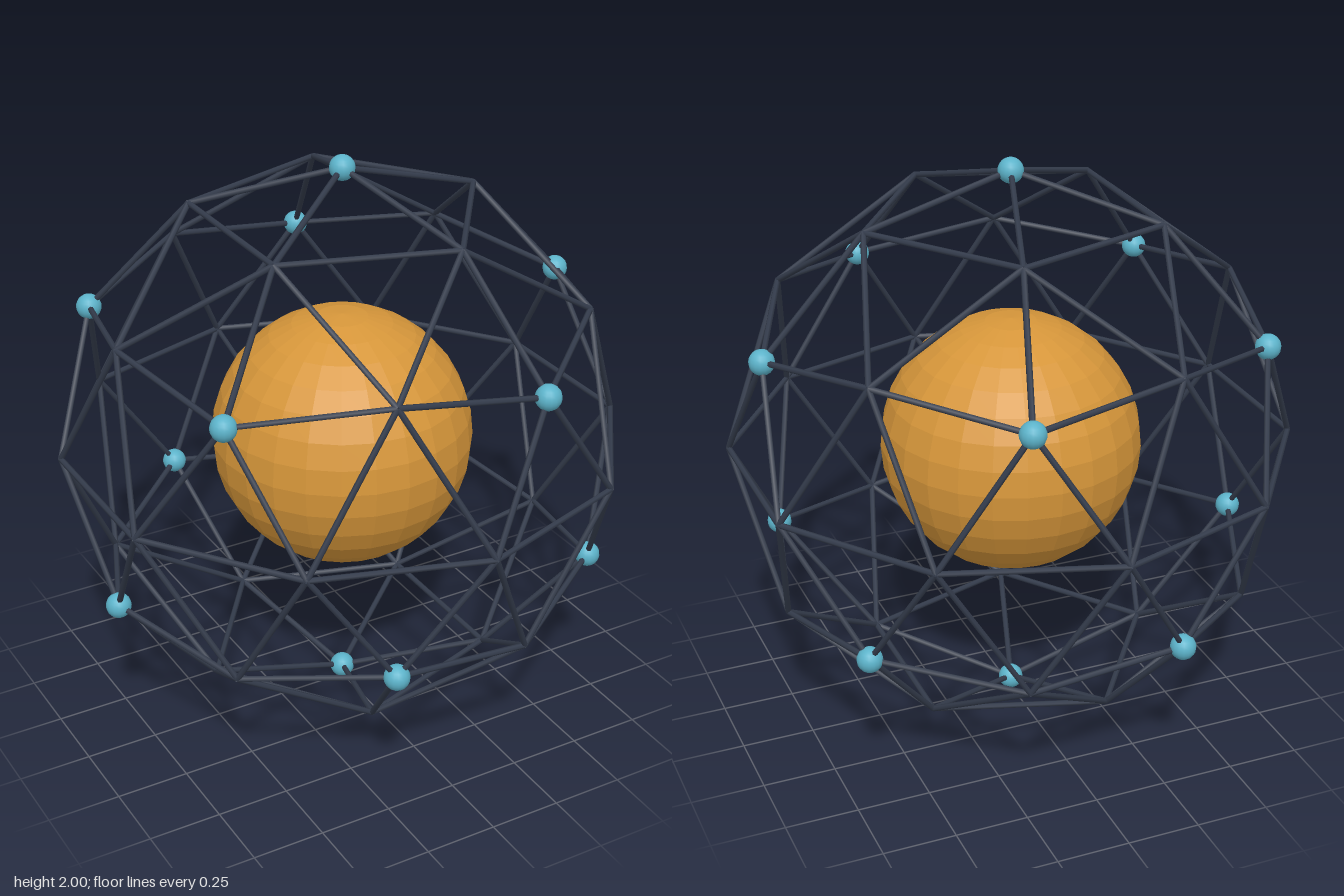
import * as THREE from 'three';

const R = 0.957;         // cage radius
const NODE_R = 0.043;    // joint ball radius
const STRUT_R = 0.01;    // strut radius

export function createModel() {
  const model = new THREE.Group();
  model.name = 'geodesicCage';

  const gold = new THREE.MeshStandardMaterial({ color: 0xd6963a, flatShading: true });
  gold.name = 'amber';
  const slate = new THREE.MeshStandardMaterial({ color: 0x343c4c });
  slate.name = 'darkSlate';
  const teal = new THREE.MeshStandardMaterial({ color: 0x5cb3ca });
  teal.name = 'paleTeal';

  // Everything is built round the centre of the cage
  const cage = new THREE.Group();
  cage.name = 'cage';
  cage.position.y = 1;
  model.add(cage);

  // Twelve main corners: two poles and two staggered rings of five
  const corners = [new THREE.Vector3(0, R, 0), new THREE.Vector3(0, -R, 0)];
  const ringY = R / Math.sqrt(5);
  for (let i = 0; i < 5; i++) {
    for (const side of [1, -1]) {
      const a = (i * 2 + (side < 0 ? 1 : 0)) * Math.PI / 5;
      corners.push(new THREE.Vector3(2 * ringY * Math.cos(a), side * ringY, 2 * ringY * Math.sin(a)));
    }
  }

  // Middle of each long edge, pushed out to the sphere
  const points = corners.slice();
  for (let i = 0; i < corners.length; i++) {
    for (let j = i + 1; j < corners.length; j++) {
      if (corners[i].distanceTo(corners[j]) < 1.1 * R) {
        points.push(corners[i].clone().add(corners[j]).setLength(R));
      }
    }
  }

  // Struts join every pair of neighbouring points
  const up = new THREE.Vector3(0, 1, 0);
  const strutGeo = new THREE.CylinderGeometry(STRUT_R, STRUT_R, 1, 6);
  const struts = new THREE.Group();
  struts.name = 'struts';
  for (let i = 0; i < points.length; i++) {
    for (let j = i + 1; j < points.length; j++) {
      const dir = points[j].clone().sub(points[i]);
      const len = dir.length();
      if (len > 0.7 * R) continue;
      const strut = new THREE.Mesh(strutGeo, slate);
      strut.name = 'strut';
      strut.scale.y = len;
      strut.position.copy(points[i]).addScaledVector(dir, 0.5);
      strut.quaternion.setFromUnitVectors(up, dir.normalize());
      struts.add(strut);
    }
  }
  cage.add(struts);

  // Balls on the main corners
  const nodeGeo = new THREE.SphereGeometry(NODE_R, 16, 12);
  const nodes = new THREE.Group();
  nodes.name = 'jointBalls';
  for (const c of corners) {
    const ball = new THREE.Mesh(nodeGeo, teal);
    ball.name = 'jointBall';
    ball.position.copy(c);
    nodes.add(ball);
  }
  cage.add(nodes);

  // Faceted core
  const core = new THREE.Mesh(new THREE.SphereGeometry(0.445, 24, 16), gold);
  core.name = 'core';
  cage.add(core);

  return model;
}
